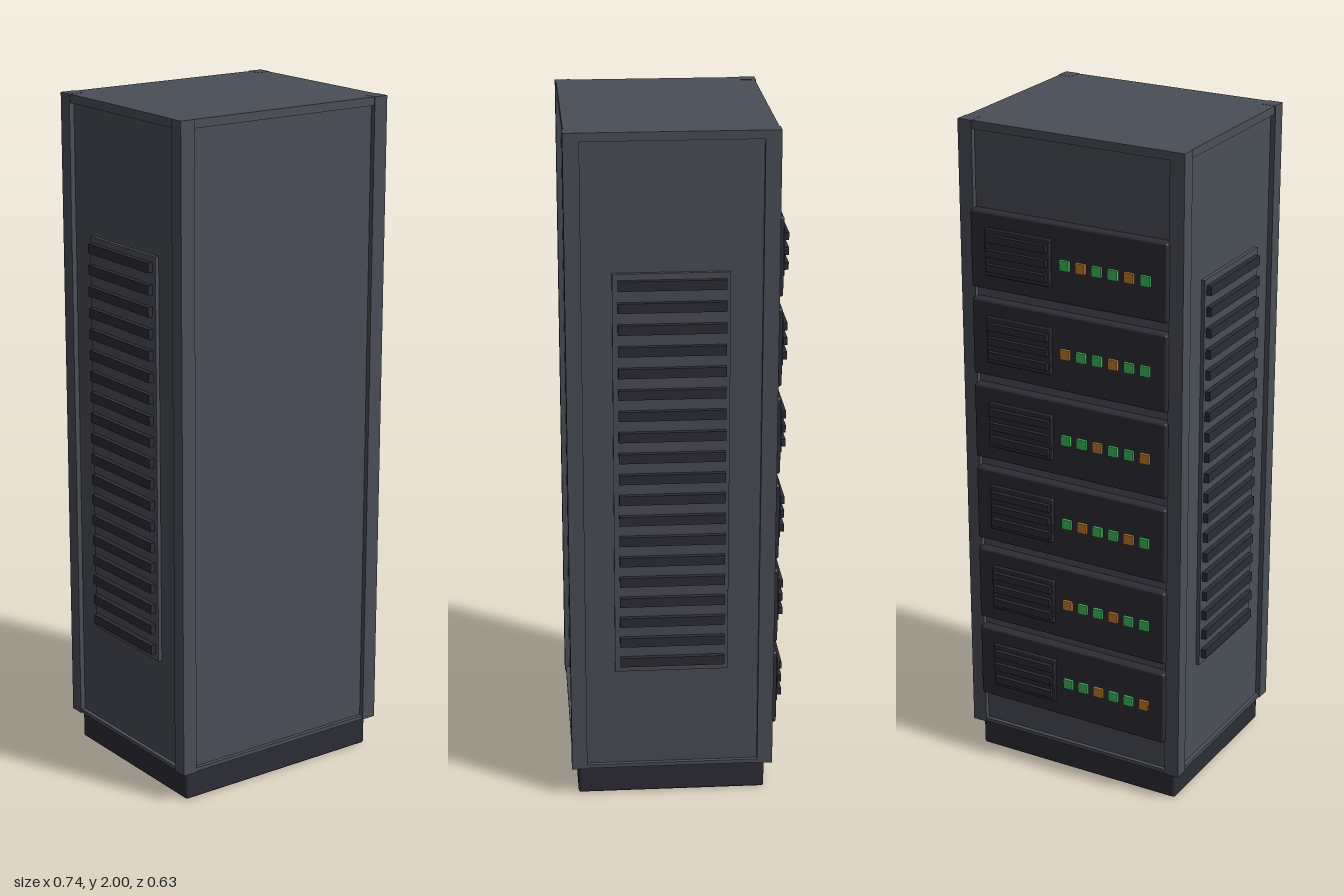
import * as THREE from 'three';
import { RoundedBoxGeometry } from 'three/addons/geometries/RoundedBoxGeometry.js';

const material = (name, color) => {
  const m = new THREE.MeshStandardMaterial({ color });
  m.name = name;
  return m;
};

export function createModel() {
  const steel = material('slate steel', 0x4a4e57);
  const dark = material('dark plastic', 0x2c2c35);
  const green = material('green light', 0x3fbb5c);
  const amber = material('amber light', 0xc27a2c);

  const model = new THREE.Group();
  model.name = 'serverCabinet';

  // Box given by its extents on each axis; a bevel radius rounds its edges
  function box(parent, name, mat, [x0, x1], [y0, y1], [z0, z1], bevel = 0) {
    const size = [x1 - x0, y1 - y0, z1 - z0];
    const geo = bevel
      ? new RoundedBoxGeometry(...size, 2, bevel)
      : new THREE.BoxGeometry(...size);
    const mesh = new THREE.Mesh(geo, mat);
    mesh.name = name;
    mesh.position.set((x0 + x1) / 2, (y0 + y1) / 2, (z0 + z1) / 2);
    parent.add(mesh);
    return mesh;
  }

  // Outer limits of the cabinet
  const X = 0.357, ZB = -0.28, ZF = 0.313, Y0 = 0.09, Y1 = 2, post = 0.045;
  const recess = 0.015, lip = 0.003;

  // Plinth
  box(model, 'plinth', dark, [-0.335, 0.335], [0, Y0 + 0.002], [-0.258, 0.294], 0.008);

  // Inner body whose four sides are the recessed panels
  box(model, 'panelBody', steel, [-X + recess, X - recess], [Y0 + 0.002, Y1 - 0.002],
    [ZB + recess, ZF - recess]);

  // Corner posts
  const frame = new THREE.Group();
  frame.name = 'frame';
  model.add(frame);
  for (const x of [[-X, -X + post], [X - post, X]]) {
    for (const z of [[ZB, ZB + post], [ZF - post, ZF]]) {
      box(frame, 'cornerPost', steel, x, [Y0, Y1], z);
    }
  }

  // Top and bottom caps close the frame between the posts
  for (const [name, y] of [['topCap', [1.975, Y1 - 0.0005]], ['bottomCap', [Y0 + 0.0005, 0.102]]]) {
    box(frame, name, steel, [-X + lip, X - lip], y, [ZB + lip, ZF - lip]);
  }

  // Side ventilation: a raised plate with nineteen louvres on each side
  for (const side of [-1, 1]) {
    const vent = new THREE.Group();
    vent.name = side > 0 ? 'leftVent' : 'rightVent';
    model.add(vent);
    const span = (a, b) => (side > 0 ? [a, b] : [-b, -a]);
    box(vent, 'ventPlate', steel, span(X - recess - 0.005, 0.353), [0.403, 1.605], [-0.145, 0.183]);
    for (let i = 0; i < 19; i++) {
      const y = 0.437 + i * 0.0631;
      box(vent, 'louvre', dark, span(0.345, 0.368), [y - 0.014, y + 0.014], [-0.134, 0.168]);
    }
  }

  // Six rack units on the back, each with a grille and a row of lights
  for (let row = 0; row < 6; row++) {
    const y = 1.633 - row * 0.2635;
    const unit = new THREE.Group();
    unit.name = 'rackUnit' + (row + 1);
    model.add(unit);
    box(unit, 'unitFace', dark, [-0.315, 0.315], [y - 0.115, y + 0.115], [-0.295, -0.255], 0.007);
    box(unit, 'grillePlate', dark, [0.05, 0.263], [y - 0.07, y + 0.07], [-0.304, -0.29], 0.003);
    for (const k of [-1, 0, 1]) {
      const ys = y + k * 0.043;
      box(unit, 'grilleSlat', dark, [0.058, 0.254], [ys - 0.011, ys + 0.011], [-0.316, -0.3]);
    }
    for (let i = 0; i < 6; i++) {
      const x = 0.005 - i * 0.0512;
      box(unit, 'statusLight', (i + row) % 3 === 1 ? amber : green,
        [x - 0.015, x + 0.015], [y - 0.015, y + 0.015], [-0.304, -0.292]);
    }
  }

  return model;
}
